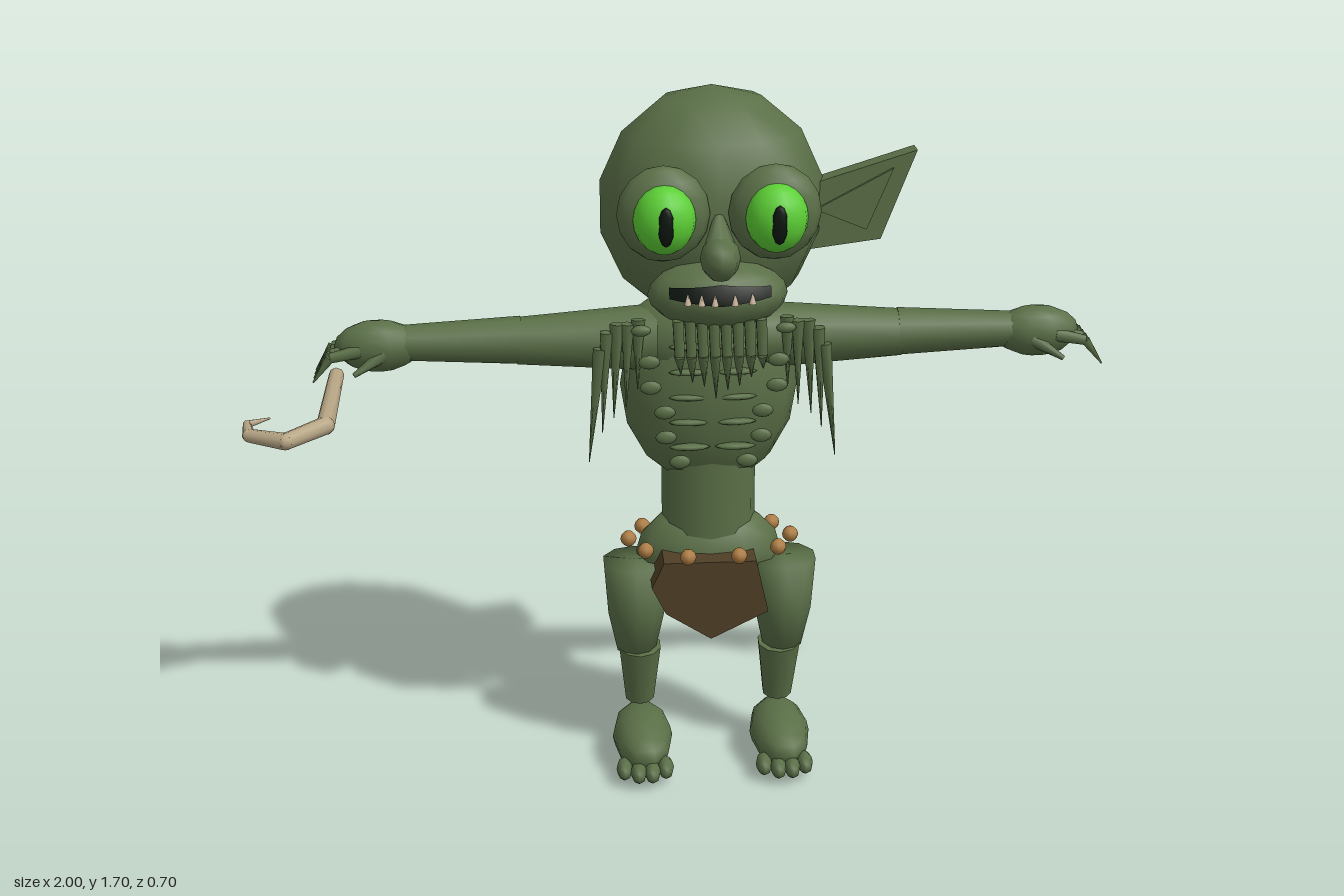
import * as THREE from 'three';

const material = (name, color) => {
  const m = new THREE.MeshStandardMaterial({ color, side: THREE.DoubleSide });
  m.name = name;
  return m;
};

export function createModel() {
  const skin = material('green skin', 0x5a6f47);
  const eyeGreen = material('eye green', 0x5ccf35);
  const dark = material('dark mouth', 0x0c140d);
  const tooth = material('tooth', 0xcdb9a0);
  const cloth = material('brown cloth', 0x4f3f26);
  const bead = material('bead', 0xad7c42);
  const bone = material('bone staff', 0xb7a685);

  const model = new THREE.Group();
  const body = new THREE.Group();
  body.name = 'body';
  body.position.x = 0.063;
  model.add(body);

  const add = (parent, name, geometry, mat) => {
    const mesh = new THREE.Mesh(geometry, mat);
    mesh.name = name;
    parent.add(mesh);
    return mesh;
  };
  const ball = (parent, name, mat, pos, radii, w = 10, h = 8) => {
    const g = new THREE.SphereGeometry(1, w, h).scale(...radii).translate(...pos);
    return add(parent, name, g, mat);
  };
  // Tapered round bar between two points
  const bar = (parent, name, mat, a, b, ra, rb, sides = 8) => {
    const p = new THREE.Vector3(...a), q = new THREE.Vector3(...b);
    const d = q.clone().sub(p);
    const mesh = add(parent, name, new THREE.CylinderGeometry(rb, ra, d.length(), sides), mat);
    mesh.position.copy(p).add(q).multiplyScalar(0.5);
    mesh.quaternion.setFromUnitVectors(new THREE.Vector3(0, 1, 0), d.normalize());
    return mesh;
  };

  // Trunk
  ball(body, 'head', skin, [0, 1.43, -0.14], [0.265, 0.28, 0.215], 12, 7);
  ball(body, 'chest', skin, [0, 0.975, -0.19], [0.215, 0.265, 0.127], 12, 8);
  ball(body, 'upperBack', skin, [0, 1.1, -0.18], [0.22, 0.12, 0.11], 12, 8);
  bar(body, 'waist', skin, [0, 0.58, -0.195], [0, 0.8, -0.195], 0.115, 0.115, 12).scale.z = 0.85;
  ball(body, 'pelvis', skin, [0, 0.535, -0.19], [0.18, 0.125, 0.11], 12, 8);

  // Bead belt
  for (let i = 0; i < 10; i++) {
    const a = (i + 0.5) * Math.PI / 5;
    ball(body, 'beltBead', bead,
      [0.2 * Math.sin(a), 0.583, -0.154 + 0.13 * Math.cos(a)], [0.02, 0.02, 0.02], 8, 6);
  }

  // Loincloth
  const flap = new THREE.Shape([[-0.12, 0.565], [-0.15, 0.5], [-0.115, 0.43], [-0.005, 0.36],
    [0.135, 0.43], [0.105, 0.565]].map(p => new THREE.Vector2(...p)));
  const flapGeometry = new THREE.ExtrudeGeometry(flap, { depth: 0.09, bevelEnabled: false });
  add(body, 'loincloth', flapGeometry.translate(0, 0, -0.125), cloth);

  // Muzzle, mouth and teeth
  const muzzle = { y: 1.27, z: 0.04, rx: 0.16, ry: 0.08, rz: 0.1 };
  const muzzleZ = (x, y) => muzzle.z + muzzle.rz *
    Math.sqrt(Math.max(0, 1 - (x / muzzle.rx) ** 2 - ((y - muzzle.y) / muzzle.ry) ** 2));
  ball(body, 'muzzle', skin, [0, muzzle.y, muzzle.z], [muzzle.rx, muzzle.ry, muzzle.rz], 14, 10);
  const mouth = new THREE.PlaneGeometry(0.23, 0.046, 10, 2);
  const mp = mouth.attributes.position;
  for (let i = 0; i < mp.count; i++) {
    const x = mp.getX(i);
    const y = 1.292 + mp.getY(i) * (1 - 0.5 * Math.abs(x) / 0.115);
    mp.setXYZ(i, x, y, muzzleZ(x, y) + 0.006);
  }
  mouth.computeVertexNormals();
  add(body, 'mouth', mouth, dark);
  for (const x of [-0.075, -0.045, -0.015, 0.03, 0.07]) {
    const z = muzzleZ(x, 1.28) + 0.008;
    bar(body, 'tooth', tooth, [x, 1.272, z], [x, 1.296, z], 0.009, 0.002, 5);
  }

  // Nose
  ball(body, 'nose', skin, [0, 1.37, 0.105], [0.046, 0.052, 0.062], 8, 6);
  bar(body, 'noseBridge', skin, [0, 1.38, 0.105], [0, 1.455, 0.06], 0.042, 0.012, 8);

  // Beard strands
  for (let i = 0; i < 8; i++) {
    const x = -0.095 + i * 0.027, tip = [1.09, 1.07, 1.06, 1.03, 1.05, 1.06, 1.08, 1.1][i];
    bar(body, 'beardStrand', skin, [x, 1.225, 0.1], [x + 0.004, 1.14, 0.1], 0.014, 0.013, 6);
    bar(body, 'beardTip', skin, [x + 0.004, 1.14, 0.1], [x + 0.008, tip, 0.082], 0.013, 0.001, 6);
  }

  // Single pointed ear with a raised inner fold
  const earPlate = (name, points, depth, z) => {
    const shape = new THREE.Shape(points.map(p => new THREE.Vector2(...p)));
    const g = new THREE.ExtrudeGeometry(shape, { depth, bevelEnabled: false });
    add(body, name, g.translate(0, 0, z), skin);
  };
  earPlate('ear', [[0.2, 1.32], [0.395, 1.345], [0.475, 1.555], [0.2, 1.47]], 0.05, -0.163);
  earPlate('earFold', [[0.24, 1.42], [0.36, 1.37], [0.42, 1.515]], 0.01, -0.115);

  for (const s of [-1, 1]) {
    // Eyes with slit pupils
    ball(body, 'eyeSocket', skin, [s * 0.125, 1.465, 0.07], [0.105, 0.11, 0.052], 12, 8);
    ball(body, 'eye', eyeGreen, [s * 0.125, 1.462, 0.11], [0.07, 0.078, 0.06], 14, 10);
    ball(body, 'pupil', dark, [s * 0.125, 1.46, 0.166], [0.018, 0.045, 0.009], 6, 6);

    // Arm
    bar(body, 'upperArm', skin, [s * 0.13, 1.1, -0.165], [s * 0.46, 1.1, -0.16], 0.08, 0.056, 10);
    bar(body, 'forearm', skin, [s * 0.45, 1.102, -0.16], [s * 0.73, 1.105, -0.15], 0.057, 0.042, 10);
    ball(body, 'hand', skin, [s * 0.785, 1.1, -0.148], [0.103, 0.062, 0.056], 10, 8);
    for (let i = 0; i < 4; i++) {
      const z = -0.192 + i * 0.031;
      const knuckle = [s * 0.895, 1.088, z];
      bar(body, 'finger', skin, [s * 0.825, 1.1, z * 0.8 - 0.03], knuckle, 0.016, 0.012, 6);
      bar(body, 'claw', skin, knuckle, [s * 0.937, 1.03, z + 0.003], 0.012, 0.002, 6);
    }
    bar(body, 'thumb', skin, [s * 0.77, 1.09, -0.11], [s * 0.84, 1.05, -0.08], 0.018, 0.006, 6);

    // Hanging shoulder hair
    [[0.265, 1.1, 0.295, 0.82], [0.25, 1.14, 0.262, 0.89], [0.225, 1.16, 0.235, 0.93],
      [0.2, 1.16, 0.205, 0.95], [0.175, 1.17, 0.178, 1.0]].forEach(([x, y, tx, ty], i) =>
      bar(body, 'shoulderHair', skin, [s * x, y, -0.085], [s * tx, ty, -0.075 - 0.01 * (i % 2)], 0.017, 0.001, 6));

    // Ribs and warts on the chest
    for (let i = 0; i < 5; i++) {
      const y = 0.825 + i * 0.063;
      ball(body, 'rib', skin, [s * 0.055, y + 0.025, -0.077], [0.05, 0.008, 0.016], 8, 6);
      ball(body, 'wart', skin, [s * (0.08 + 0.018 * i + (i % 2) * 0.015), y, -0.045],
        [0.026, 0.017, 0.01], 8, 6);
    }
    ball(body, 'wart', skin, [s * 0.17, 1.15, -0.06], [0.024, 0.014, 0.012], 8, 6);

    // Leg
    const profile = [[0, 0.285], [0.05, 0.285], [0.073, 0.39], [0.083, 0.525], [0, 0.525]];
    const thigh = new THREE.LatheGeometry(profile.map(p => new THREE.Vector2(...p)), 10);
    add(body, 'thigh', thigh, skin).position.set(s * 0.183, 0, -0.157);
    bar(body, 'shin', skin, [s * 0.175, 0.14, -0.172], [s * 0.175, 0.295, -0.148], 0.037, 0.054, 10);

    // Foot and toes
    ball(body, 'foot', skin, [s * 0.173, 0.07, -0.09], [0.075, 0.063, 0.15], 10, 8);
    for (let i = 0; i < 4; i++) {
      const x = s * 0.173 + (i - 1.5) * 0.034, inner = i === 1 || i === 2;
      ball(body, 'toe', skin, [x, 0.043, inner ? 0.05 : 0.03], [0.02, 0.025, 0.04], 8, 6);
    }
  }

  // Hooked staff held in the right hand
  const staff = new THREE.Group();
  staff.name = 'staff';
  model.add(staff);
  const path = [[-0.818, 1.05, -0.09], [-0.818, 1.05, 0.245], [-0.897, 1.048, 0.333],
    [-0.98, 1.046, 0.285], [-0.992, 1.046, 0.215], [-0.945, 1.046, 0.18]];
  const radii = [0.018, 0.021, 0.019, 0.015, 0.009, 0.002];
  for (let i = 0; i < path.length - 1; i++) {
    bar(staff, 'staffSegment', bone, path[i], path[i + 1], radii[i], radii[i + 1], 8);
    if (i) ball(staff, 'staffJoint', bone, path[i], [radii[i], radii[i], radii[i]], 8, 6);
  }
  return model;
}
